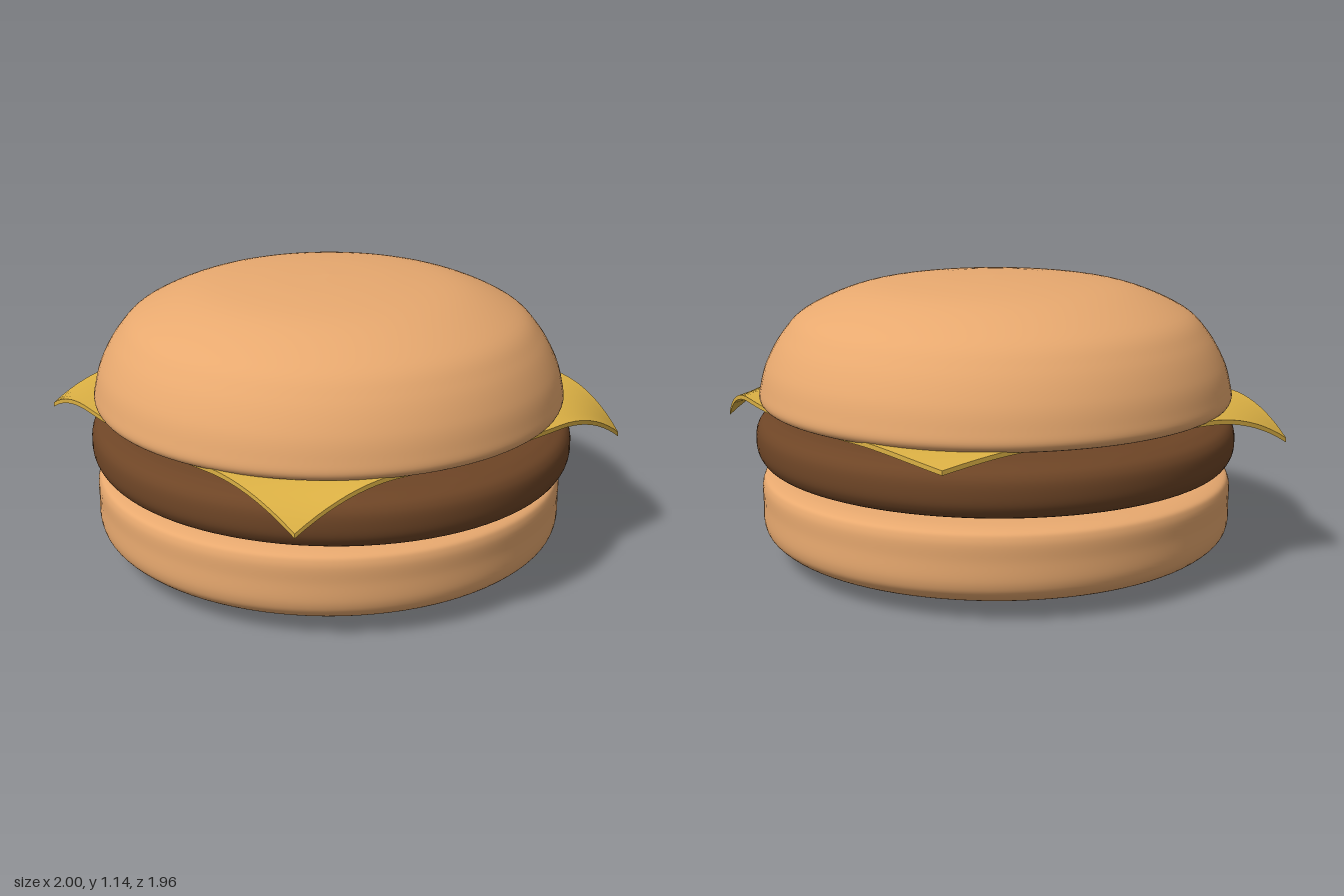
import * as THREE from 'three';

const material = (color) => new THREE.MeshStandardMaterial({ color, roughness: 0.8 });

// Smooth round body from a profile of [radius, height] points, bottom to top
function roundPart(name, profile, mat, x, z, depth) {
  const curve = new THREE.SplineCurve(profile.map(([r, y]) => new THREE.Vector2(r, y)));
  const points = curve.getPoints(72);
  points.forEach((p) => { p.x = Math.max(0, p.x); });
  const mesh = new THREE.Mesh(new THREE.LatheGeometry(points, 96), mat);
  mesh.name = name;
  mesh.position.set(x, 0, z);
  mesh.scale.z = depth;
  return mesh;
}

// Thin square slice with bowed edges and corners that droop past the bun
function cheeseSlice(mat) {
  // corners as [x, height, z]
  const corners = {
    backLeft: [-0.83, 0.61, -0.735], backRight: [0.85, 0.51, -0.83],
    frontLeft: [-0.9, 0.54, 0.79], frontRight: [0.74, 0.51, 0.8],
  };
  const mix = (axis, u, v) => THREE.MathUtils.lerp(
    THREE.MathUtils.lerp(corners.backLeft[axis], corners.backRight[axis], (u + 1) / 2),
    THREE.MathUtils.lerp(corners.frontLeft[axis], corners.frontRight[axis], (u + 1) / 2),
    (v + 1) / 2);
  const top = 0.652;
  const geometry = new THREE.BoxGeometry(2, 0.018, 2, 40, 1, 40);
  const pos = geometry.attributes.position;
  for (let i = 0; i < pos.count; i++) {
    const u = pos.getX(i), v = pos.getZ(i);
    const bowX = u > 0 ? 0.08 * u * (1 - v * v) : 0;
    const bowZ = (v > 0 ? 0.1 : 0.14) * v * (1 - u * u);
    const droop = Math.max(0, (Math.abs(u * v) - 0.5) / 0.5) ** 2;
    const y = THREE.MathUtils.lerp(top, mix(1, u, v), droop);
    pos.setXYZ(i, mix(0, u, v) + bowX, y + pos.getY(i) - 0.009, mix(2, u, v) + bowZ);
  }
  geometry.computeVertexNormals();
  const mesh = new THREE.Mesh(geometry, mat);
  mesh.name = 'cheeseSlice';
  return mesh;
}

export function createModel() {
  const bun = material(0xe8a96f);
  const group = new THREE.Group();
  group.name = 'burger';

  // Bottom bun: rounded base, straight wall, nearly flat top
  group.add(roundPart('bottomBun', [
    [0, 0.005], [0.4, 0.012], [0.72, 0.037], [0.87, 0.065], [0.94, 0.105], [0.965, 0.155],
    [0.966, 0.24], [0.964, 0.32], [0.93, 0.353], [0.8, 0.367], [0.4, 0.38], [0, 0.385],
  ], bun, -0.022, -0.008, 0.997));

  // Patty: flat disc with a rounded rim
  group.add(roundPart('patty', [
    [0, 0.375], [0.5, 0.376], [0.85, 0.38], [0.95, 0.395], [0.99, 0.435], [1, 0.49],
    [0.99, 0.545], [0.95, 0.578], [0.85, 0.597], [0.5, 0.61], [0, 0.612],
  ], material(0x6e4526), 0, 0, 0.98));

  group.add(cheeseSlice(material(0xdbb044)));

  // Top bun: domed crown
  group.add(roundPart('topBun', [
    [0, 0.605], [0.5, 0.607], [0.8, 0.616], [0.92, 0.634], [0.962, 0.662], [0.957, 0.72],
    [0.93, 0.81], [0.866, 0.92], [0.77, 1.012], [0.556, 1.1], [0.29, 1.136], [0, 1.146],
  ], bun, -0.022, -0.01, 1));

  return group;
}
